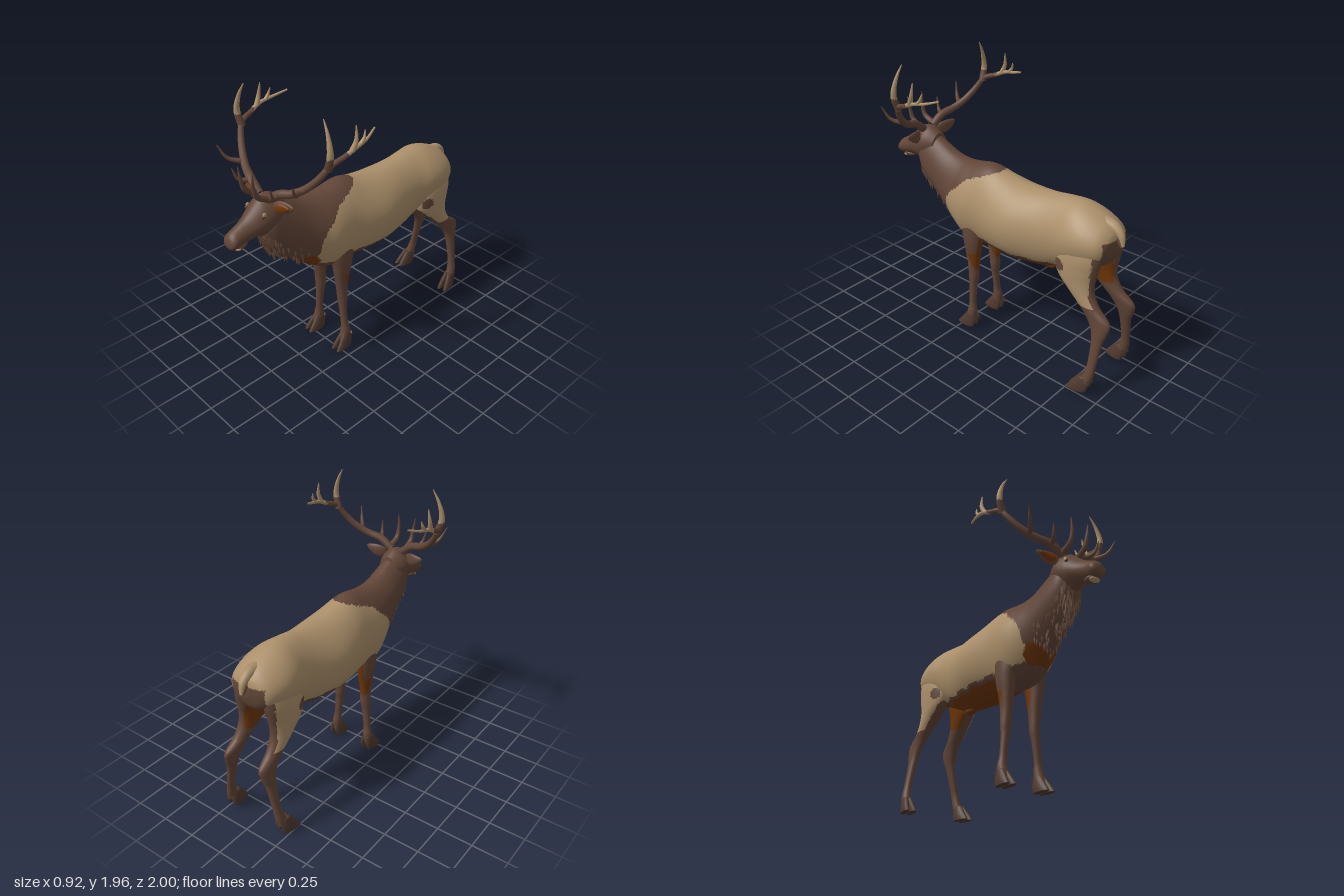
import * as THREE from 'three';
import { mergeGeometries } from 'three/addons/utils/BufferGeometryUtils.js';

const mat = (name, color) => Object.assign(new THREE.MeshStandardMaterial({ color }), { name });

let seed = 7;
const rand = () => (seed = (seed * 16807) % 2147483647) / 2147483647;

// Smooth interpolation through rows of numbers, u in 0..1
function sample(rows, u) {
  const f = u * (rows.length - 1), i = Math.min(Math.floor(f), rows.length - 2), t = f - i;
  const r = k => rows[Math.max(0, Math.min(rows.length - 1, k))];
  return rows[0].map((_, c) => {
    const [a, b, d, e] = [r(i - 1)[c], r(i)[c], r(i + 1)[c], r(i + 2)[c]];
    return b + 0.5 * t * (d - a + t * (2 * a - 5 * b + 4 * d - e + t * (3 * (b - d) + e - a)));
  });
}

// Closed skin through rings; ring(section, angle) gives a point
function loft(rows, ring, rings, seg) {
  const pos = [], idx = [];
  for (let i = 0; i <= rings; i++) {
    const s = sample(rows, i / rings);
    for (let j = 0; j < seg; j++) pos.push(...ring(s, (j / seg) * Math.PI * 2));
  }
  const id = (i, j) => i * seg + (j % seg);
  for (let i = 0; i < rings; i++) for (let j = 0; j < seg; j++) {
    idx.push(id(i, j), id(i, j + 1), id(i + 1, j), id(i, j + 1), id(i + 1, j + 1), id(i + 1, j));
  }
  for (const i of [0, rings]) {
    const c = [0, 0, 0], n = pos.length / 3;
    for (let j = 0; j < seg; j++) for (let k = 0; k < 3; k++) c[k] += pos[id(i, j) * 3 + k] / seg;
    pos.push(...c);
    for (let j = 0; j < seg; j++) idx.push(n, ...(i ? [id(i, j), id(i, j + 1)] : [id(i, j + 1), id(i, j)]));
  }
  const g = new THREE.BufferGeometry();
  g.setAttribute('position', new THREE.Float32BufferAttribute(pos, 3));
  g.setIndex(idx);
  g.computeVertexNormals();
  return g;
}

// Sort triangles into colour groups by their centre
function paint(g, rule, count) {
  const p = g.attributes.position, src = g.index.array, lists = Array.from({ length: count }, () => []);
  for (let t = 0; t < src.length; t += 3) {
    const [a, b, c] = [src[t], src[t + 1], src[t + 2]];
    const m = k => (p[k](a) + p[k](b) + p[k](c)) / 3;
    lists[rule(m('getX'), m('getY'), m('getZ'))].push(a, b, c);
  }
  g.setIndex(lists.flat());
  let start = 0;
  lists.forEach((l, k) => { if (l.length) g.addGroup(start, l.length, k); start += l.length; });
  return g;
}

// Tube that narrows from r0 to r1
function taper(points, r0, r1, steps = 24) {
  const curve = new THREE.CatmullRomCurve3(points.map(p => new THREE.Vector3(...p)));
  const g = new THREE.TubeGeometry(curve, steps, 1, 10), p = g.attributes.position, v = new THREE.Vector3();
  for (let k = 0; k < p.count; k++) {
    const u = Math.floor(k / 11) / steps, c = curve.getPointAt(u);
    v.fromBufferAttribute(p, k).sub(c).multiplyScalar(r0 + (r1 - r0) * u ** 1.4).add(c);
    p.setXYZ(k, v.x, v.y, v.z);
  }
  return g;
}

// Trunk cross-section: [z, bottom, top, halfWidth, lowerTaper]
function trunkRing([z, lo, hi, w, tap], a) {
  const c = Math.cos(a), s = Math.sin(a), mid = lo + (hi - lo) * 0.5;
  return [w * c * (1 - (s < 0 ? tap : 0.18) * s * s), mid + s * (hi - lo) / 2, z];
}
// Leg cross-section: [y, x, zFront, zBack, halfWidth]
const legRing = side => ([y, x, f, b, w], a) =>
  [x * side + w * Math.cos(a), y, (f + b) / 2 + Math.sin(a) * (f - b) / 2];

const trunk = [
  [-0.92, 1.0, 1.1, 0.04, 0], [-0.9, 0.93, 1.14, 0.12, 0], [-0.85, 0.88, 1.185, 0.17, 0],
  [-0.75, 0.84, 1.23, 0.2, 0], [-0.65, 0.8, 1.255, 0.2, 0], [-0.53, 0.745, 1.25, 0.183, 0],
  [-0.4, 0.7, 1.232, 0.195, 0], [-0.2, 0.68, 1.225, 0.232, 0], [-0.05, 0.675, 1.245, 0.222, 0],
  [0.1, 0.67, 1.28, 0.195, 0], [0.25, 0.67, 1.255, 0.198, 0.05], [0.35, 0.71, 1.25, 0.175, 0.15],
  [0.45, 0.78, 1.27, 0.148, 0.3], [0.55, 0.86, 1.315, 0.13, 0.45], [0.65, 0.93, 1.365, 0.115, 0.5],
  [0.71, 1.0, 1.39, 0.1, 0.5], [0.75, 1.08, 1.37, 0.07, 0.4]];

const head = [
  [0.6, 1.2, 1.36, 0.07, 0.1], [0.68, 1.15, 1.405, 0.105, 0.2], [0.75, 1.13, 1.392, 0.102, 0.3],
  [0.8, 1.14, 1.35, 0.088, 0.3], [0.86, 1.14, 1.297, 0.068, 0.2], [0.92, 1.13, 1.262, 0.059, 0.1],
  [0.97, 1.125, 1.235, 0.06, 0.1], [0.992, 1.135, 1.21, 0.045, 0.1], [1.0, 1.155, 1.185, 0.018, 0]];

const foreLeg = [
  [0.98, 0.11, 0.28, 0.06, 0.05], [0.8, 0.112, 0.275, 0.09, 0.062], [0.7, 0.115, 0.258, 0.105, 0.058],
  [0.6, 0.113, 0.243, 0.125, 0.047], [0.5, 0.112, 0.228, 0.14, 0.038], [0.4, 0.115, 0.218, 0.145, 0.037],
  [0.33, 0.12, 0.212, 0.155, 0.03], [0.2, 0.133, 0.207, 0.157, 0.026], [0.13, 0.14, 0.215, 0.145, 0.033],
  [0.06, 0.142, 0.235, 0.15, 0.034]];

const hindLeg = [
  [1.08, 0.1, -0.6, -0.88, 0.07], [0.95, 0.117, -0.56, -0.88, 0.078], [0.86, 0.122, -0.55, -0.865, 0.075],
  [0.78, 0.126, -0.58, -0.85, 0.067], [0.7, 0.13, -0.665, -0.856, 0.057], [0.62, 0.135, -0.75, -0.905, 0.045],
  [0.55, 0.142, -0.815, -0.99, 0.037], [0.48, 0.152, -0.862, -0.985, 0.033], [0.4, 0.166, -0.88, -0.962, 0.028],
  [0.25, 0.195, -0.884, -0.947, 0.024], [0.16, 0.21, -0.868, -0.94, 0.03], [0.09, 0.217, -0.84, -0.925, 0.033]];

export function createModel() {
  const root = new THREE.Group();
  const brown = mat('darkBrownCoat', 0x614537), tan = mat('tanCoat', 0xab8f6a);
  const rust = mat('rustUnderside', 0x6e3609), dark = mat('hoofBrown', 0x4d382e);
  const coat = [brown, tan, rust];
  const add = (name, g, m) => {
    const mesh = new THREE.Mesh(g, m);
    mesh.name = name;
    root.add(mesh);
    return mesh;
  };
  const ball = (name, m, p, s) => {
    const b = add(name, new THREE.SphereGeometry(1, 20, 14), m);
    b.position.set(...p);
    b.scale.set(...s);
    return b;
  };

  // Trunk and neck, with a tan saddle and rust belly
  const saddle = [[0.74, 0.37], [0.85, 0.4], [1.0, 0.38], [1.1, 0.3], [1.2, 0.16], [1.24, 0.04], [1.3, -0.12]];
  const edge = y => {
    let k = 0;
    while (k < saddle.length - 2 && y > saddle[k + 1][0]) k++;
    const [[y0, z0], [y1, z1]] = [saddle[k], saddle[k + 1]];
    return z0 + (z1 - z0) * (y - y0) / (y1 - y0);
  };
  add('trunk', paint(loft(trunk, trunkRing, 180, 72), (x, y, z) => {
    const ax = Math.abs(x), wob = 0.008 * Math.sin(z * 37) + 0.006 * Math.sin(y * 61);
    if (z > 0.37 && z < 0.49 && y > 0.75 && y < 0.87 + wob && ax < 0.12) return 2;
    if (z > edge(y) + wob) return 0;
    if (z < -0.84 && y < 1.08 && ax < 0.13) return 0;
    const line = 0.77 + Math.max(0, -z - 0.2) * 0.1 + wob;
    if (z > -0.6 && y < line) return z < 0.12 && y < line - 0.03 + Math.min(0, -z * 0.15) ? 2 : 0;
    if (z <= -0.6 && ax < 0.09 && y < 0.95) return 2;
    return 1;
  }, 3), coat);
  ball('sheath', rust, [0, 0.7, -0.4], [0.03, 0.028, 0.06]);

  // Shaggy mane under the neck
  const tufts = [], up = new THREE.Vector3(0, 1, 0);
  for (let k = 0; k < 150; k++) {
    const s = sample(trunk, 0.76 + 0.22 * rand()), a = -Math.PI / 2 + (rand() - 0.5) * 2.5;
    const [x, y, z] = trunkRing(s, a), len = 0.07 + 0.06 * rand();
    const dir = new THREE.Vector3(Math.cos(a) * 0.22, -1, 0.1 - 0.3 * rand()).normalize();
    const c = new THREE.ConeGeometry(0.02, len, 6);
    c.applyQuaternion(new THREE.Quaternion().setFromUnitVectors(up, dir));
    tufts.push(c.translate(x * 0.93, y + 0.012, z));
  }
  add('mane', mergeGeometries(tufts), brown);

  // Head, lower lip and tail
  add('head', loft(head, trunkRing, 50, 40), brown);
  ball('chin', brown, [0, 1.135, 0.91], [0.04, 0.025, 0.05]);
  ball('lowerLip', tan, [0, 1.122, 0.935], [0.038, 0.014, 0.025]);
  add('tail', taper([[0, 1.16, -0.8], [0, 1.155, -0.88], [0, 1.11, -0.935], [0, 1.04, -0.955]], 0.045, 0.01), tan);
  add('tailUnderside', taper([[0, 1.12, -0.88], [0, 1.08, -0.922], [0, 1.03, -0.945]], 0.03, 0.008), brown);

  for (const s of [1, -1]) {
    const side = s > 0 ? 'left' : 'right';
    const at = pts => pts.map(([x, y, z]) => [x * s, y, z]);

    // Eyes, nostrils and ears
    ball(side + 'EyePatch', tan, [0.084 * s, 1.318, 0.775], [0.008, 0.016, 0.014]);
    ball(side + 'Eye', dark, [0.083 * s, 1.305, 0.785], [0.01, 0.01, 0.013]);
    ball(side + 'Nostril', dark, [0.034 * s, 1.18, 0.983], [0.013, 0.012, 0.01]);
    for (const [name, m, k, dz] of [['Ear', brown, 1, 0], ['EarInside', rust, 0.72, 0.011]]) {
      const g = new THREE.SphereGeometry(1, 24, 16), p = g.attributes.position;
      for (let i = 0; i < p.count; i++) {
        const x = p.getX(i) * s;
        p.setXYZ(i, p.getX(i) * 0.08 * k, p.getY(i) * (0.042 - 0.016 * x) * k, p.getZ(i) * 0.016 + 0.012 * x * x);
      }
      g.computeVertexNormals();
      const ear = add(side + name, g, m);
      ear.position.set(0.155 * s, 1.36, 0.68 + dz);
      ear.rotation.set(0, 0.25 * s, 0.28 * s);
    }

    // Antler beam and tines, pale towards the ends
    const pale = (x, y, z) => (z < 0.44 || y > 1.79 ? 1 : 0);
    const antler = (name, pts, r0, r1, rule = pale) =>
      add(side + name, paint(taper(at(pts), r0, r1), rule, 2), [brown, tan]);
    antler('AntlerBeam', [[0.045, 1.385, 0.71], [0.13, 1.448, 0.7], [0.22, 1.478, 0.67], [0.3, 1.53, 0.63],
      [0.37, 1.61, 0.585], [0.41, 1.685, 0.54], [0.428, 1.715, 0.46], [0.44, 1.75, 0.38],
      [0.43, 1.77, 0.28], [0.395, 1.8, 0.18]], 0.029, 0.006);
    antler('RoyalTine', [[0.4, 1.66, 0.55], [0.43, 1.76, 0.558], [0.405, 1.87, 0.55], [0.36, 1.955, 0.54]],
      0.025, 0.003, (x, y) => (y > 1.74 ? 1 : 0));
    antler('RearTine', [[0.438, 1.74, 0.4], [0.445, 1.8, 0.375], [0.435, 1.89, 0.365]], 0.018, 0.003);
    antler('SmallRearTine', [[0.435, 1.76, 0.33], [0.437, 1.79, 0.305], [0.43, 1.835, 0.29]], 0.014, 0.003);
    antler('BrowTine', [[0.06, 1.4, 0.73], [0.058, 1.44, 0.8], [0.06, 1.51, 0.825], [0.07, 1.605, 0.832]], 0.021, 0.003);
    antler('SecondTine', [[0.13, 1.445, 0.7], [0.165, 1.455, 0.765], [0.185, 1.54, 0.8]], 0.018, 0.003);
    antler('ThirdTine', [[0.26, 1.5, 0.65], [0.32, 1.53, 0.73], [0.36, 1.62, 0.775]], 0.018, 0.003);

    // Legs
    add(side + 'ForeLeg', paint(loft(foreLeg, legRing(s), 90, 28), (x, y, z) =>
      (y > 0.48 && y < 0.78 && z < 0.15 + (y - 0.48) * 0.4 && (y < 0.62 || x * s < 0.14) ? 2 : 0), 3), coat);
    add(side + 'HindLeg', paint(loft(hindLeg, legRing(s), 110, 36), (x, y, z) => {
      const ax = x * s;
      if (y < 0.63 + Math.max(0, z + 0.76) * 0.9) return 0;
      if (ax < 0.105) return y > 0.68 && z > -0.845 ? 2 : 0;
      if (Math.hypot(z + 0.61, y - 0.86) < 0.042) return 0;
      return z < -0.835 && ax < 0.165 ? 0 : 1;
    }, 3), coat);

    // Cloven hooves with dewclaws
    for (const [name, x, y, z, turn] of [['Fore', 0.142, 0, 0.17, 0.05], ['Hind', 0.215, 0.03, -0.885, 0.18]]) {
      const hoof = new THREE.Group();
      hoof.name = side + name + 'Hoof';
      for (const t of [-1, 1]) {
        const toe = new THREE.Mesh(loft([[0.11, 0.012 * t, 0.045, -0.02, 0.018], [0.07, 0.018 * t, 0.075, -0.03, 0.022],
          [0.03, 0.023 * t, 0.105, -0.025, 0.023], [0, 0.025 * t, 0.125, -0.015, 0.022]], legRing(1), 12, 18), dark);
        toe.name = 'toe';
        const claw = new THREE.Mesh(new THREE.ConeGeometry(0.013, 0.045, 8), dark);
        claw.name = 'dewclaw';
        claw.position.set(0.02 * t, 0.075, -0.035);
        claw.rotation.x = -2.5;
        hoof.add(toe, claw);
      }
      hoof.position.set(x * s, y, z);
      hoof.rotation.y = turn * s;
      root.add(hoof);
    }
  }
  return root;
}
